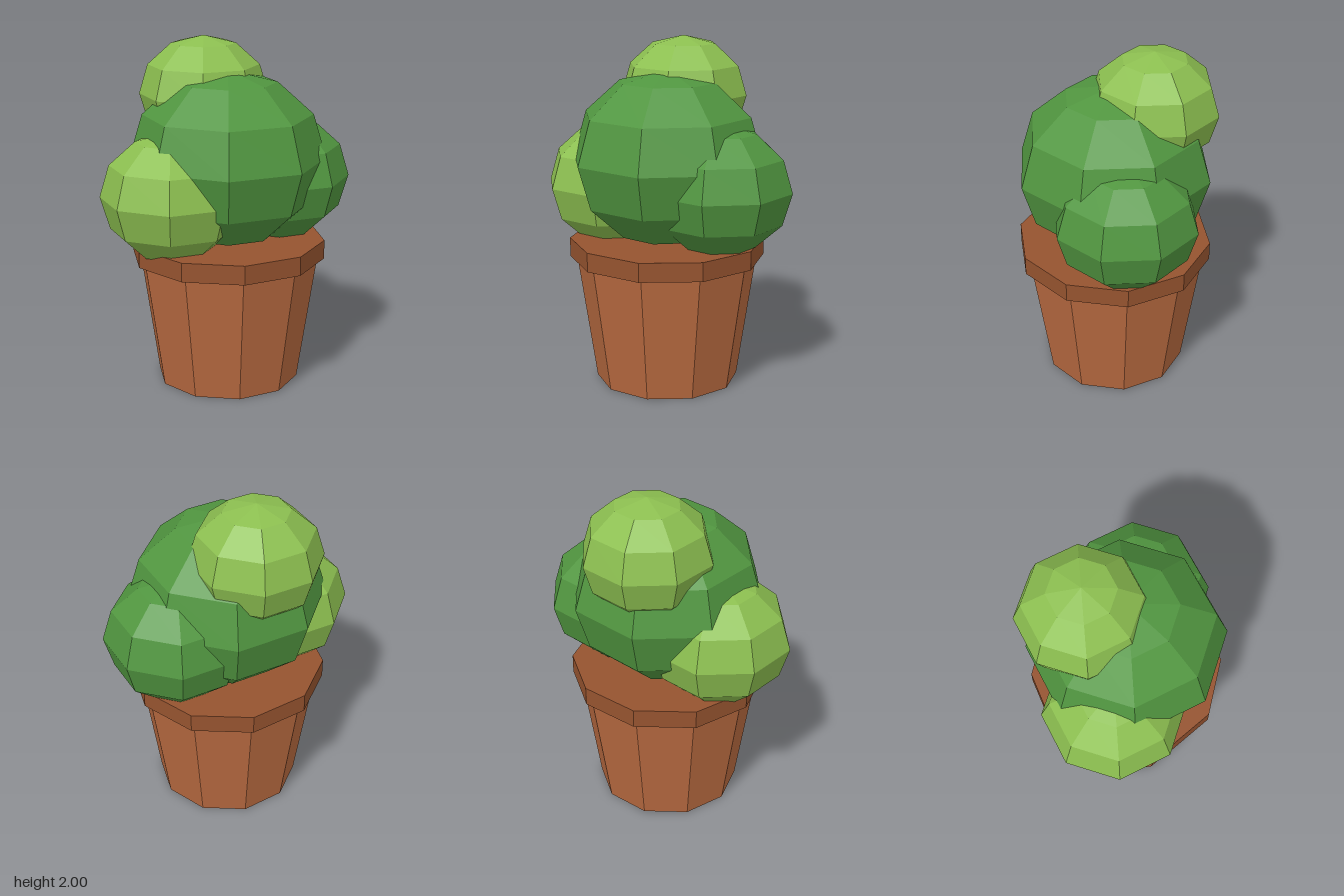
import * as THREE from 'three';

const flat = (name, color) => {
  const m = new THREE.MeshStandardMaterial({ color });
  m.name = name;
  m.flatShading = true;
  return m;
};

export function createModel() {
  const group = new THREE.Group();
  group.name = 'pottedShrub';

  const terracotta = flat('terracotta', 0xb86a40);
  const darkTerracotta = flat('darkTerracotta', 0x95532f);
  const leafGreen = flat('leafGreen', 0x519640);
  const lightGreen = flat('lightGreen', 0x8cbf50);

  const add = (name, geometry, material, x, y, z) => {
    const mesh = new THREE.Mesh(geometry, material);
    mesh.name = name;
    mesh.position.set(x, y, z);
    group.add(mesh);
    return mesh;
  };

  // Ten-sided tapered pot and its solid rim
  const potZ = 0.02;
  add('pot', new THREE.CylinderGeometry(0.525, 0.415, 0.74, 10), terracotta, 0, 0.37, potZ);
  add('rim', new THREE.CylinderGeometry(0.565, 0.565, 0.11, 10), darkTerracotta, 0, 0.795, potZ);

  // Slightly squashed faceted foliage balls
  const foliage = [
    ['mainFoliage', 0.565, leafGreen, 0, 1.32, 0.02],
    ['leftFoliage', 0.415, leafGreen, 0.335, 1.175, 0.11],
    ['rightFoliage', 0.41, lightGreen, -0.345, 1.135, -0.08],
    ['topFoliage', 0.375, lightGreen, 0.035, 1.662, -0.21],
  ];
  for (const [name, radius, material, x, y, z] of foliage) {
    const ball = new THREE.SphereGeometry(radius, 8, 6).scale(1, 0.9, 1);
    add(name, ball, material, x, y, z);
  }

  return group;
}
